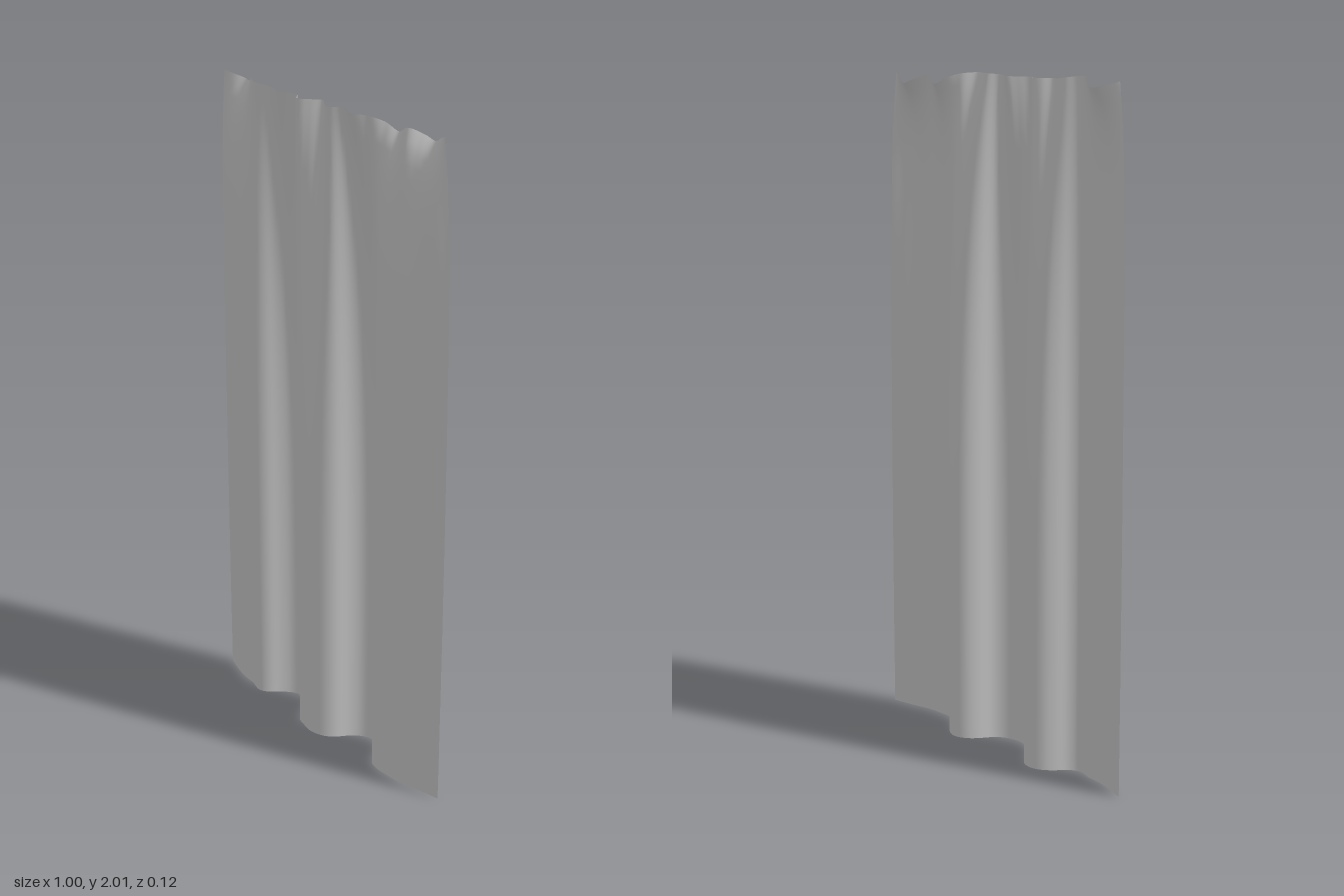
import * as THREE from 'three';

// Smooth curve through [x, value] pairs
function profile(points) {
  const curve = new THREE.CubicInterpolant(
    points.map(p => p[0]), points.map(p => p[1]), 1, new Float32Array(1));
  return x => curve.evaluate(x)[0];
}

// Depth of the broad folds at the hem, across the width
const hem = profile([
  [-0.5, -0.008], [-0.45, 0.008], [-0.4, 0.02], [-0.35, 0.024], [-0.3, 0.034], [-0.27, 0.016],
  [-0.245, -0.015], [-0.22, -0.038], [-0.18, -0.052], [-0.14, -0.038], [-0.115, 0],
  [-0.09, 0.038], [-0.06, 0.049], [-0.015, 0.057], [0.03, 0.045], [0.06, 0.02],
  [0.085, -0.02], [0.11, -0.046], [0.15, -0.06], [0.19, -0.043], [0.215, -0.008],
  [0.235, 0.02], [0.27, 0.031], [0.32, 0.03], [0.37, 0.026], [0.42, 0.012], [0.5, -0.006]]);

// Depth of the small gathers under the top edge
const gathers = profile([
  [-0.5, -0.003], [-0.44, 0.02], [-0.38, 0.016], [-0.33, 0.026], [-0.29, 0.034], [-0.25, 0.02],
  [-0.22, 0.022], [-0.19, 0.035], [-0.155, 0.018], [-0.125, 0.012], [-0.085, 0.04],
  [-0.05, 0.02], [-0.02, 0], [0.015, 0.022], [0.055, 0.037], [0.09, 0.016],
  [0.125, 0.018], [0.16, 0.034], [0.2, 0.015], [0.235, 0.014], [0.28, 0.028],
  [0.34, 0.02], [0.39, 0.022], [0.445, 0.035], [0.5, 0]]);

// Backward curl of the loose top corners
const curl = profile([
  [-0.5, 0], [-0.47, -0.026], [-0.435, -0.05], [-0.4, -0.038], [-0.35, -0.012], [-0.32, 0],
  [-0.2, 0], [0, 0], [0.21, 0], [0.25, -0.03], [0.285, -0.048], [0.34, -0.024],
  [0.38, -0.046], [0.43, -0.066], [0.46, -0.05], [0.5, 0]]);

// Sag of the top edge
const sag = profile([
  [-0.5, 0], [-0.46, 0.011], [-0.42, 0.018], [-0.39, 0.014], [-0.37, 0], [-0.2, 0.002],
  [0, 0], [0.21, 0], [0.25, 0.014], [0.288, 0.03], [0.345, 0.007],
  [0.385, 0.02], [0.424, 0.031], [0.465, 0.012], [0.5, 0]]);

export function createModel() {
  const group = new THREE.Group();
  group.name = 'curtain';
  const fabric = new THREE.MeshStandardMaterial({ color: 0xcccccc, side: THREE.DoubleSide });
  fabric.name = 'grey fabric';

  // Hanging cloth: hem folds blend upward into the narrower gathered top
  const cloth = new THREE.PlaneGeometry(1, 2, 140, 60);
  const pos = cloth.attributes.position;
  for (let i = 0; i < pos.count; i++) {
    const u = pos.getX(i);
    const t = Math.min(1, Math.max(0, pos.getY(i) / 2 + 0.5));
    const blend = t ** 4;
    const width = 1 - 0.035 * t ** 2 - 0.045 * t ** 12;
    const top = t ** 20;
    pos.setXYZ(i,
      u * width,
      2 * t - sag(u) * top,
      THREE.MathUtils.lerp(hem(u), gathers(u), blend) + curl(u) * top);
  }
  cloth.computeVertexNormals();

  const mesh = new THREE.Mesh(cloth, fabric);
  mesh.name = 'drapedCloth';
  group.add(mesh);
  return group;
}
